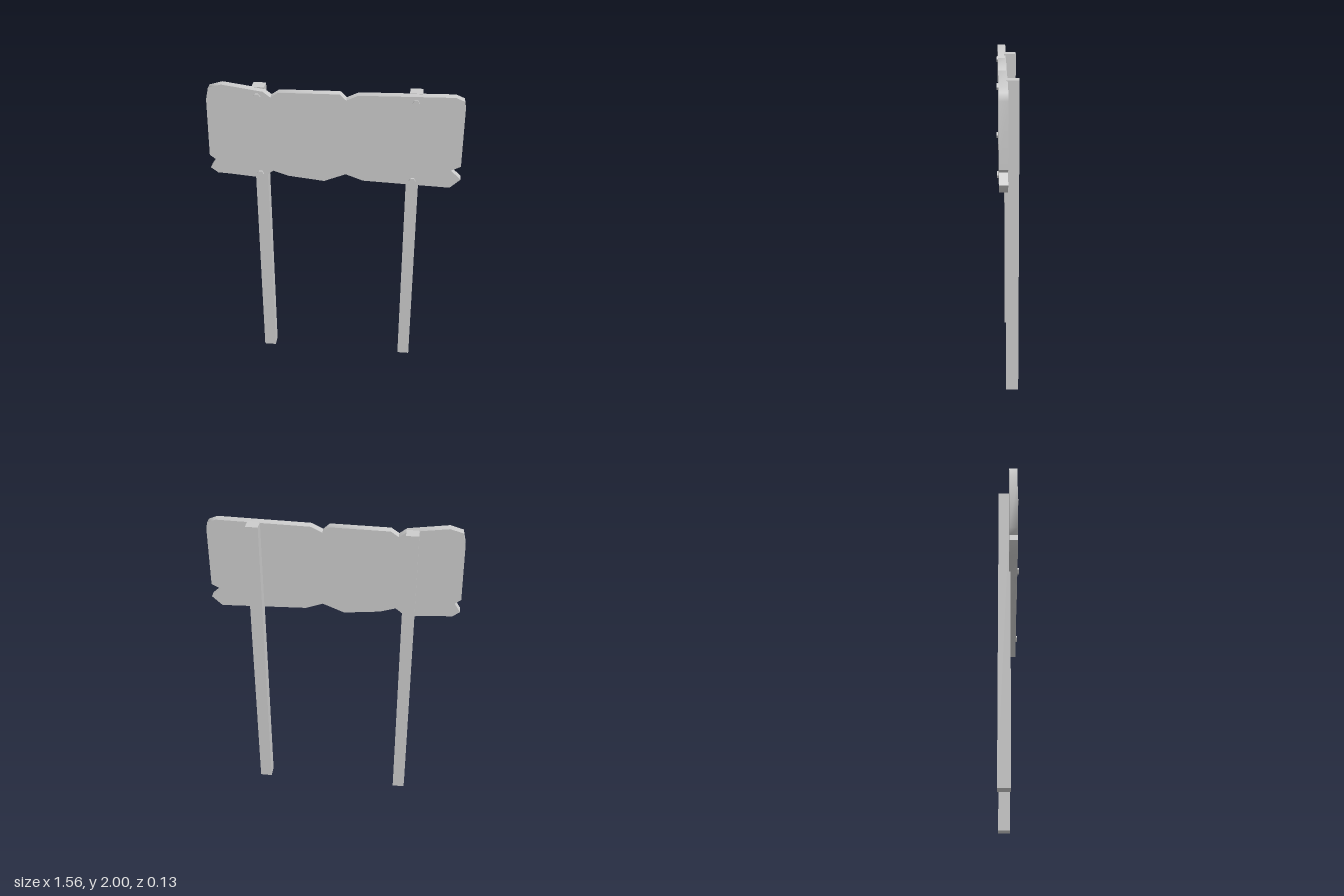
import * as THREE from 'three';
import { toCreasedNormals } from 'three/addons/utils/BufferGeometryUtils.js';

export function createModel() {
  const model = new THREE.Group();
  const material = new THREE.MeshStandardMaterial({ color: 0xcccccc });

  const add = (name, geometry, x, y, z) => {
    const mesh = new THREE.Mesh(geometry, material);
    mesh.name = name;
    mesh.position.set(x, y, z);
    model.add(mesh);
    return mesh;
  };

  // Weathered board: chipped outline, clockwise from the top left corner
  const outline = [
    [-0.76, 1.977], [-0.68, 2.0], [-0.43, 1.965], [-0.385, 1.93], [-0.337, 1.963],
    [0.03, 1.968], [0.069, 1.931], [0.14, 1.965], [0.712, 1.977], [0.765, 1.955],
    [0.773, 1.91], [0.773, 1.527], [0.714, 1.497], [0.778, 1.439], [0.714, 1.378],
    [0.177, 1.397], [0.069, 1.436], [-0.066, 1.381], [-0.288, 1.405], [-0.386, 1.436],
    [-0.452, 1.383], [-0.65, 1.4], [-0.738, 1.405], [-0.783, 1.439], [-0.746, 1.497],
    [-0.783, 1.527], [-0.777, 1.9],
  ];
  const shape = new THREE.Shape(outline.map(([x, y]) => new THREE.Vector2(x, y)));
  const board = new THREE.ExtrudeGeometry(shape, { depth: 0.052, bevelEnabled: false });
  add('board', toCreasedNormals(board, 1.1), 0, 0, 0.002);

  // Two square posts, each with an upper and a lower hexagonal bolt
  const postGeometry = new THREE.BoxGeometry(0.077, 1.975, 0.077);
  const boltGeometry = new THREE.CylinderGeometry(0.021, 0.021, 0.03, 6, 1, false, Math.PI / 2)
    .toNonIndexed();
  boltGeometry.rotateX(Math.PI / 2);
  boltGeometry.computeVertexNormals();

  for (const [side, x] of [['right', -0.467], ['left', 0.481]]) {
    add(`${side}Post`, postGeometry, x, 1.975 / 2, -0.027);
    for (const [level, y] of [['Upper', 1.933], ['Lower', 1.414]]) {
      add(`${side}${level}Bolt`, boltGeometry, x + 0.001, y, 0.049);
    }
  }
  return model;
}
